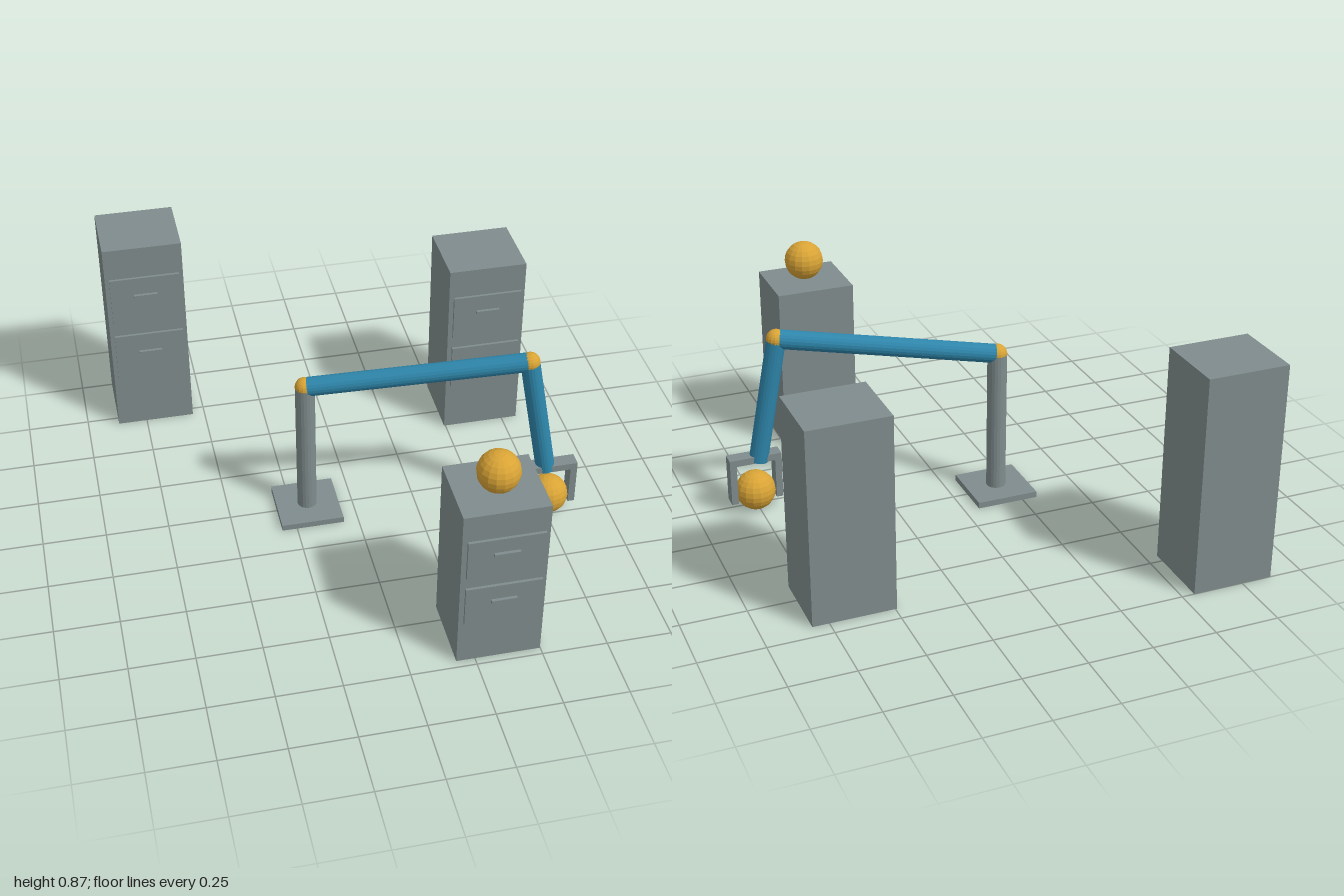
import * as THREE from 'three';

const flat = (name, color) => {
  const m = new THREE.MeshStandardMaterial({ color, flatShading: true });
  m.name = name;
  return m;
};

export function createModel() {
  const grey = flat('steelGrey', 0x7f8c8d);
  const blue = flat('armBlue', 0x2e86ab);
  const gold = flat('ballGold', 0xd9a436);
  const model = new THREE.Group();
  model.name = 'robotArmWithCabinets';

  const add = (parent, name, geometry, material, x, y, z) => {
    const mesh = new THREE.Mesh(geometry, material);
    mesh.name = name;
    mesh.position.set(x, y, z);
    parent.add(mesh);
    return mesh;
  };
  const box = (parent, name, w, h, d, x, y, z) =>
    add(parent, name, new THREE.BoxGeometry(w, h, d), grey, x, y, z);
  const ball = (parent, name, r, x, y, z) =>
    add(parent, name, new THREE.SphereGeometry(r, 16, 12), gold, x, y, z);

  // Round bar between two points
  const bar = (parent, name, a, b, r, material) => {
    const dir = b.clone().sub(a);
    const mesh = add(parent, name, new THREE.CylinderGeometry(r, r, dir.length(), 20), material, 0, 0, 0);
    mesh.position.copy(a).add(b).multiplyScalar(0.5);
    mesh.quaternion.setFromUnitVectors(new THREE.Vector3(0, 1, 0), dir.normalize());
  };

  // Filing cabinet with two drawers; z is the front of its body
  const cabinet = (name, x, z, h) => {
    const g = new THREE.Group();
    g.name = name;
    g.position.set(x, 0, z);
    box(g, 'cabinetBody', 0.32, h, 0.291, 0, h / 2, -0.1455);
    for (const [level, grip] of [[0.724, 0.753], [0.406, 0.432]]) {
      box(g, 'drawerFront', 0.285, 0.247 * h, 0.011, 0, level * h, 0.0115);
      box(g, 'drawerHandle', 0.096, 0.012, 0.012, 0, grip * h, 0.023);
    }
    model.add(g);
  };
  cabinet('tallCabinet', -0.71, -0.709, 0.87);
  cabinet('middleCabinet', 0.654, -0.396, 0.78);
  cabinet('shortCabinet', 0.339, 0.969, 0.69);

  // Arm: foot, column, two links and their joints
  const arm = new THREE.Group();
  arm.name = 'robotArm';
  model.add(arm);
  const shoulder = new THREE.Vector3(-0.185, 0.605, 0);
  const elbow = new THREE.Vector3(0.653, 0.728, 0.19);
  const wrist = new THREE.Vector3(0.742, 0.212, 0.214);
  box(arm, 'footPlate', 0.25, 0.025, 0.25, -0.185, 0.0125, 0);
  bar(arm, 'column', new THREE.Vector3(-0.185, 0.02, 0), shoulder, 0.039, grey);
  bar(arm, 'upperArm', shoulder, elbow, 0.038, blue);
  bar(arm, 'forearm', elbow, wrist, 0.038, blue);
  ball(arm, 'shoulderJoint', 0.0395, ...shoulder.toArray());
  ball(arm, 'elbowJoint', 0.0395, ...elbow.toArray());

  // Gripper: palm and two fingers
  const gripper = new THREE.Group();
  gripper.name = 'gripper';
  gripper.position.set(0.76, 0, 0.216);
  arm.add(gripper);
  box(gripper, 'palm', 0.21, 0.028, 0.058, 0, 0.225, 0);
  for (const side of [-1, 1])
    box(gripper, 'finger', 0.027, 0.193, 0.058, side * 0.0915, 0.1425, 0);

  // Held ball and the one resting on the short cabinet
  ball(model, 'heldBall', 0.08, 0.76, 0.081, 0.216);
  ball(model, 'restingBall', 0.08, 0.339, 0.768, 0.836);

  return model;
}
